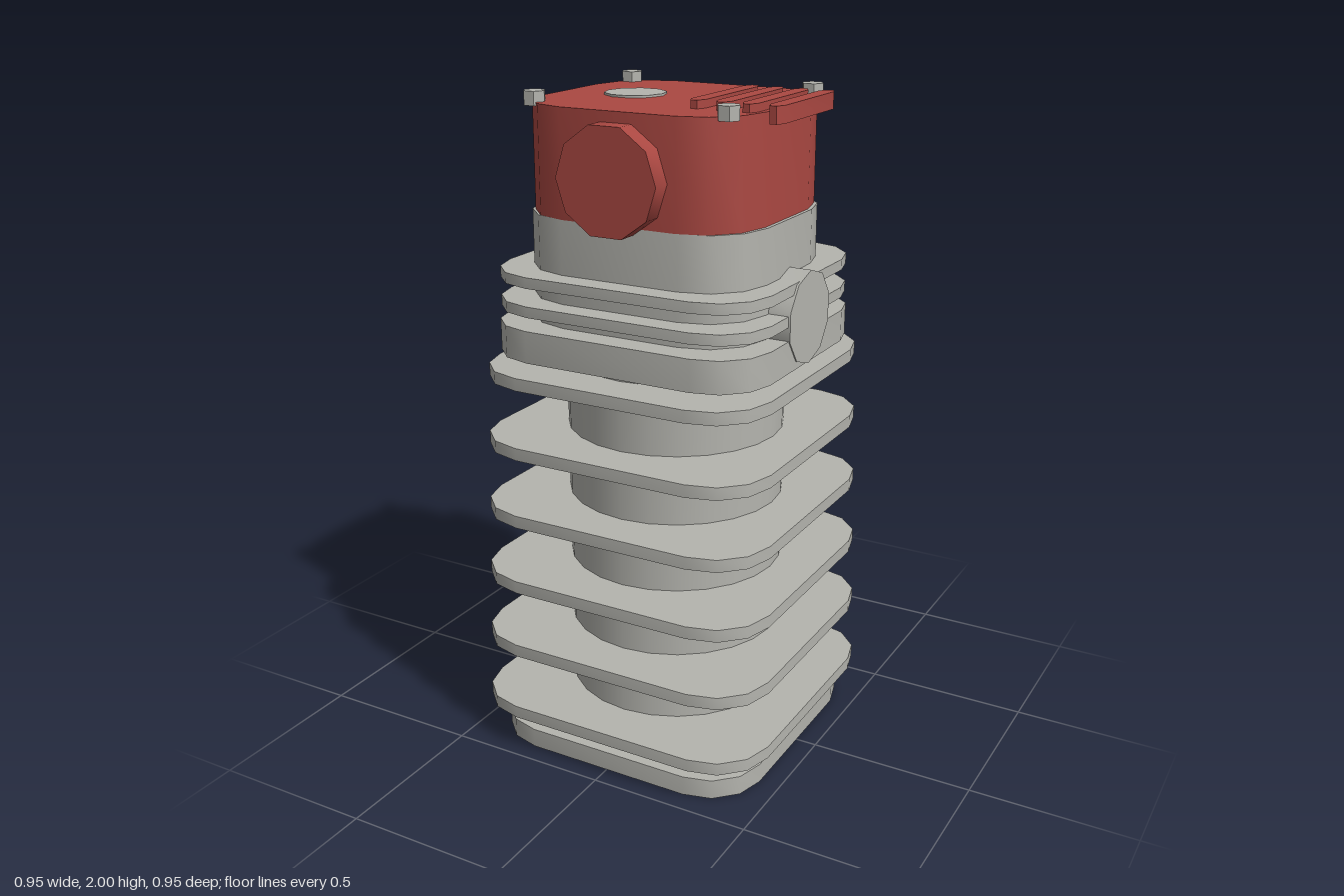
import * as THREE from 'three';
import { toCreasedNormals } from 'three/addons/utils/BufferGeometryUtils.js';

const grey = new THREE.MeshStandardMaterial({ color: 0xb4b4ae });
grey.name = 'castGrey';
const red = new THREE.MeshStandardMaterial({ color: 0xab4842 });
red.name = 'coverRed';

export function createModel() {
  const model = new THREE.Group();
  model.name = 'finnedCylinder';

  const add = (name, geometry, material, x = 0, y = 0, z = 0) => {
    const mesh = new THREE.Mesh(toCreasedNormals(geometry, 0.7), material);
    mesh.name = name;
    mesh.position.set(x, y, z);
    model.add(mesh);
  };

  // Upright prism from an outline in plan, between two heights
  const prism = (points, y0, y1) => {
    const shape = new THREE.Shape(points.map(([x, z]) => new THREE.Vector2(x, z)));
    return new THREE.ExtrudeGeometry(shape, { depth: y1 - y0, bevelEnabled: false })
      .rotateX(-Math.PI / 2).translate(0, y0, 0);
  };

  // Rounded rectangle slab: half sizes hx, hz and three facets per corner
  const slab = (hx, hz, rx, rz, y0, y1) => {
    const points = [];
    [[1, 1], [-1, 1], [-1, -1], [1, -1]].forEach(([sx, sz], corner) => {
      for (let i = 0; i <= 3; i++) {
        const a = (corner + i / 3) * Math.PI / 2;
        points.push([sx * (hx - rx) + rx * Math.cos(a), sz * (hz - rz) + rz * Math.sin(a)]);
      }
    });
    return prism(points, y0, y1);
  };

  // Upright round part with a corner pointing along x
  const round = (r, h, sides) =>
    new THREE.CylinderGeometry(r, r, h, sides).rotateY(Math.PI / 2);

  // Barrel with base flange and tapering cooling fins
  add('baseFlange', slab(0.435, 0.435, 0.17, 0.17, 0, 0.06), grey);
  add('barrel', round(0.328, 1.2, 24), grey, 0, 0.64, 0);
  for (let i = 0; i < 6; i++) {
    const half = 0.477 - i * 0.0053;
    const y = 0.135 + i * 0.2125;
    add('barrelFin', slab(half, half, 0.177, 0.177, y - 0.019, y + 0.019), grey);
  }

  // Cylinder head with two fins
  add('headFlange', slab(0.43, 0.405, 0.165, 0.165, 1.25, 1.345), grey);
  add('headBody', slab(0.366, 0.328, 0.18, 0.185, 1.345, 1.66), grey);
  for (const y of [1.4, 1.485]) {
    add('headFin', slab(0.427, 0.4, 0.165, 0.165, y - 0.016, y + 0.016), grey);
  }

  // Ports on the two sides of the head
  add('inletPort', round(0.137, 0.143, 10).rotateZ(Math.PI / 2), grey, 0.362, 1.384, 0);
  add('exhaustPort', round(0.107, 0.133, 10).rotateZ(Math.PI / 2), grey, -0.367, 1.455, 0);

  // Rocker cover with front and back caps
  add('rockerCover', slab(0.355, 0.33, 0.175, 0.19, 1.66, 1.97), red);
  for (const s of [1, -1]) {
    add('valveCap', round(0.157, 0.1, 10).rotateX(Math.PI / 2), red, 0, 1.79, s * 0.34);
  }

  // Details on top of the cover
  add('fillerDisc', round(0.091, 0.015, 10), grey, -0.134, 1.969, 0);
  const rib = [[0.023, -0.158], [0.023, 0.158], [0.01, 0.185], [-0.01, 0.185],
    [-0.023, 0.158], [-0.023, -0.158], [-0.01, -0.185], [0.01, -0.185]];
  for (let i = 0; i < 4; i++) {
    add('coverRib', prism(rib, 1.945, 1.993), red, 0.157 + i * 0.0783, 0, 0);
  }
  for (const sx of [1, -1]) {
    for (const sz of [1, -1]) {
      add('coverBolt', round(0.033, 0.04, 6), grey, sx * 0.303, 1.98, sz * 0.264);
    }
  }
  return model;
}
